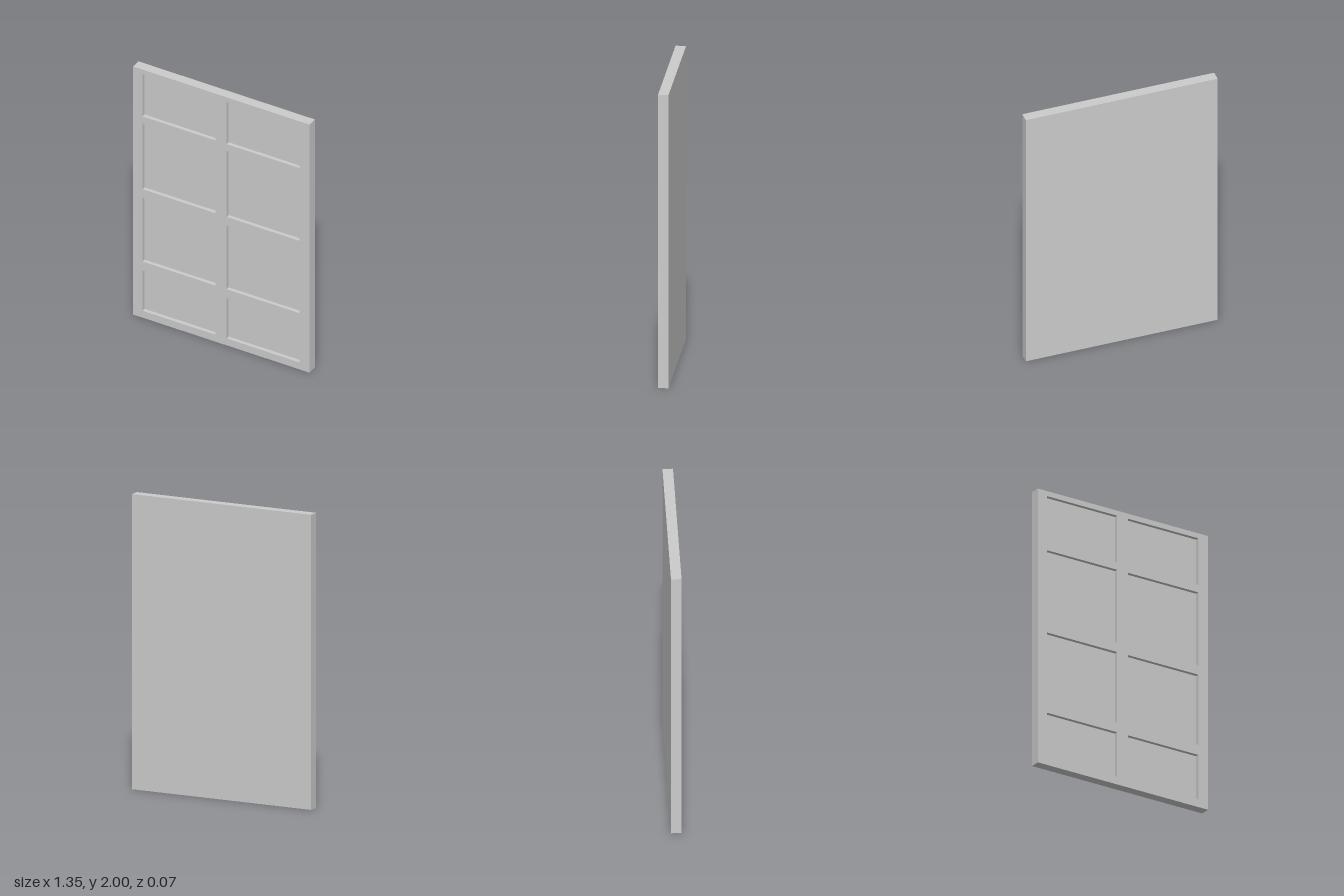
import * as THREE from 'three';

const W = 1.35, H = 2, T = 0.07, RECESS = 0.026;
const COLUMNS = [[-0.603, -0.045], [0.041, 0.598]];
const ROWS = [[0.056, 0.381], [0.453, 0.967], [1.036, 1.568], [1.623, 1.963]];

// Traces a rectangle on a Shape or Path
function rect(path, x0, y0, x1, y1) {
  path.moveTo(x0, y0);
  path.lineTo(x1, y0);
  path.lineTo(x1, y1);
  path.lineTo(x0, y1);
  path.closePath();
  return path;
}

export function createModel() {
  const model = new THREE.Group();
  model.name = 'panelledDoor';
  const material = new THREE.MeshStandardMaterial({ color: 0xcccccc });

  // Solid back, whose front face is the floor of the recessed panels
  const backDepth = T - RECESS;
  const back = new THREE.Mesh(new THREE.BoxGeometry(W, H, backDepth), material);
  back.name = 'backPanel';
  back.position.set(0, H / 2, -T / 2 + backDepth / 2);
  model.add(back);

  // Front lattice of stiles and rails with eight openings
  const outline = rect(new THREE.Shape(), -W / 2, 0, W / 2, H);
  for (const [x0, x1] of COLUMNS) {
    for (const [y0, y1] of ROWS) outline.holes.push(rect(new THREE.Path(), x0, y0, x1, y1));
  }
  const frame = new THREE.Mesh(
    new THREE.ExtrudeGeometry(outline, { depth: RECESS, bevelEnabled: false }), material);
  frame.name = 'frontFrame';
  frame.position.z = T / 2 - RECESS;
  model.add(frame);

  return model;
}
